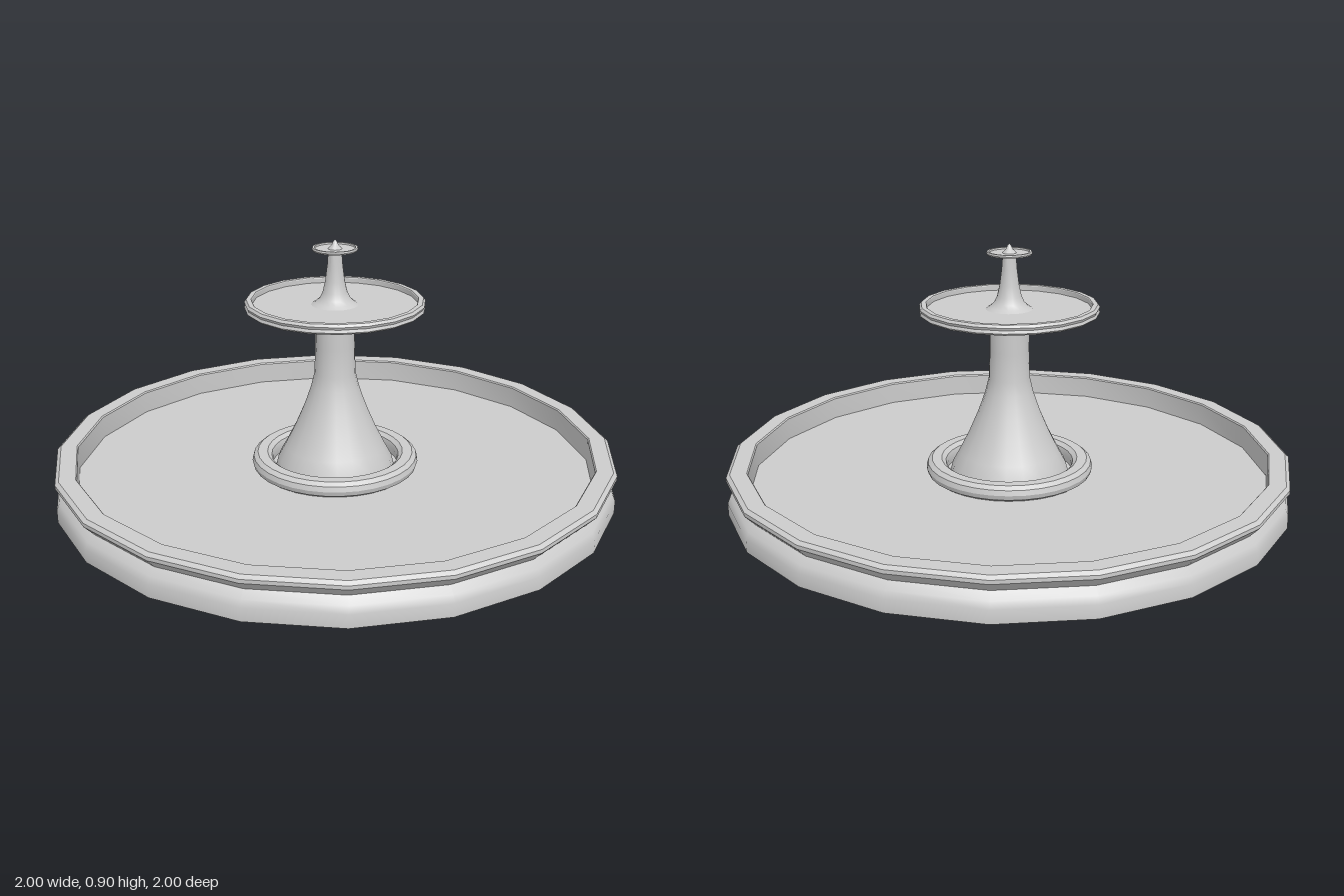
import * as THREE from 'three';
import { toCreasedNormals } from 'three/addons/utils/BufferGeometryUtils.js';

const material = new THREE.MeshStandardMaterial({ color: 0xcccccc });

// Turned part from [radius, height] points listed from the bottom up the outside
function turned(name, profile, sides = 20) {
  const points = profile.map(([r, y]) => new THREE.Vector2(r, y));
  const lathe = new THREE.LatheGeometry(points, sides);
  const mesh = new THREE.Mesh(toCreasedNormals(lathe, Math.PI / 6), material);
  mesh.name = name;
  return mesh;
}

export function createModel() {
  const model = new THREE.Group();
  model.name = 'fountain';

  model.add(
    // Wide pool with a notched outer wall
    turned('poolBasin', [
      [0, 0], [1, 0], [1, 0.045], [0.99, 0.068], [0.968, 0.09],
      [0.985, 0.108], [1, 0.125], [1, 0.138], [0.987, 0.148],
      [0.93, 0.148], [0.926, 0.143], [0.926, 0.062], [0, 0.062],
    ]),
    // Rounded kerb around the foot of the column
    turned('footRing', [
      [0.275, 0.06], [0.295, 0.073], [0.3, 0.09], [0.295, 0.108],
      [0.28, 0.12], [0.245, 0.12], [0.23, 0.108], [0.225, 0.09], [0.23, 0.06],
    ], 32),
    // Flared main column
    turned('mainColumn', [
      [0.215, 0.06], [0.205, 0.1], [0.18, 0.145], [0.145, 0.215], [0.115, 0.285],
      [0.1, 0.325], [0.085, 0.37], [0.073, 0.42], [0.07, 0.52], [0.07, 0.66],
    ]),
    // Middle bowl
    turned('middleBowl', [
      [0, 0.655], [0.308, 0.655], [0.316, 0.662], [0.312, 0.672], [0.316, 0.681],
      [0.309, 0.69], [0.292, 0.69], [0.29, 0.687], [0.29, 0.67], [0, 0.67],
    ]),
    // Flared upper column
    turned('upperColumn', [
      [0.083, 0.67], [0.07, 0.678], [0.054, 0.692], [0.043, 0.715],
      [0.034, 0.755], [0.027, 0.81], [0.023, 0.865],
    ]),
    // Small top dish
    turned('topDish', [
      [0, 0.862], [0.078, 0.862], [0.08, 0.867], [0.078, 0.873],
      [0.071, 0.873], [0.07, 0.867], [0, 0.867],
    ]),
    // Pointed spout
    turned('spout', [
      [0.025, 0.866], [0.02, 0.873], [0.012, 0.88], [0.007, 0.892], [0, 0.9],
    ]),
  );

  return model;
}
